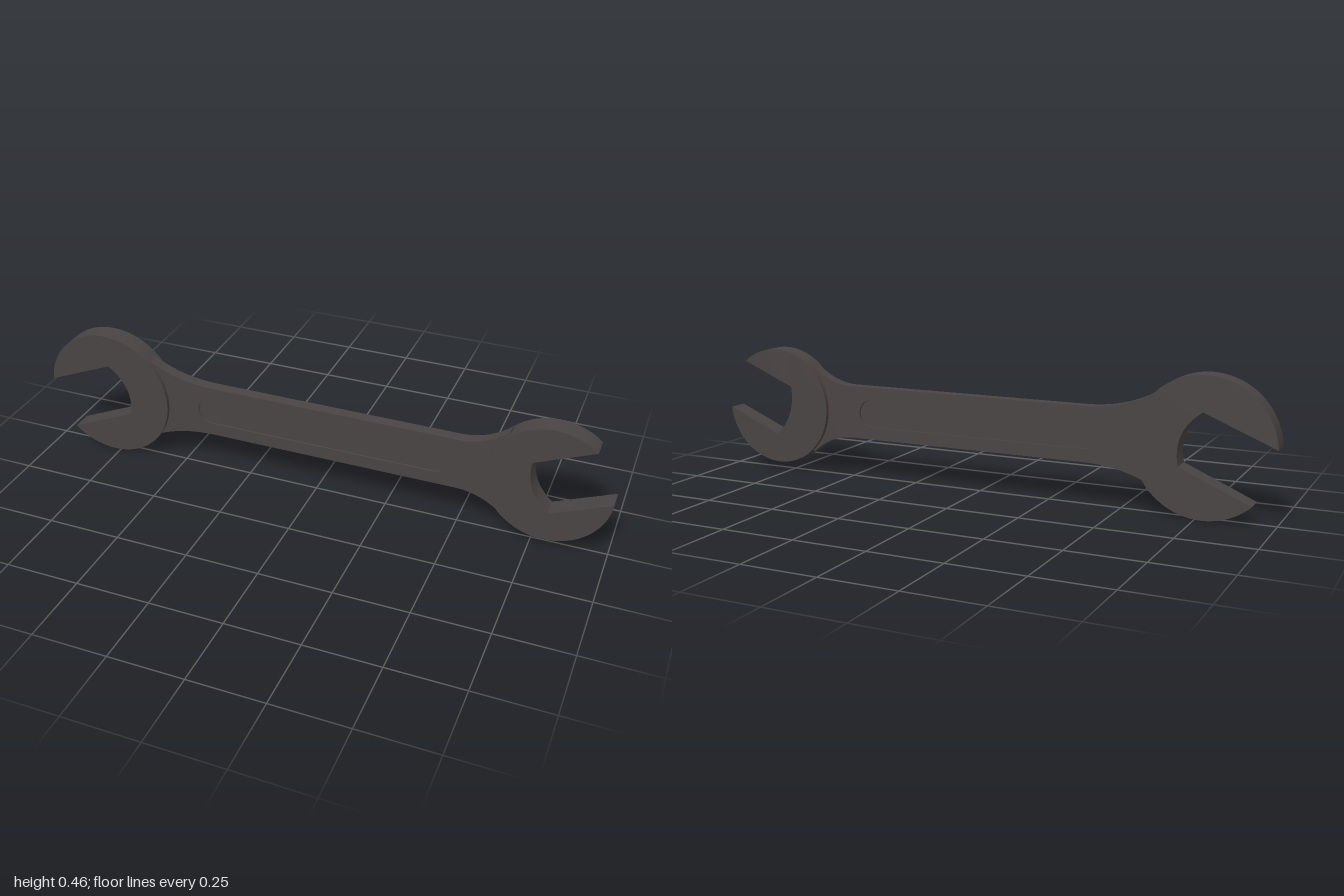
import * as THREE from 'three';
import { toCreasedNormals } from 'three/addons/utils/BufferGeometryUtils.js';

const steel = new THREE.MeshStandardMaterial({ color: 0x4a4444 });
const MID = 0.234; // height of the handle's centre line

// Extrudes an outline evenly to both sides of z = 0
function plate(name, shape, thickness) {
  const geometry = new THREE.ExtrudeGeometry(shape, { depth: thickness, bevelEnabled: false, curveSegments: 40 });
  geometry.translate(0, 0, -thickness / 2);
  const mesh = new THREE.Mesh(toCreasedNormals(geometry, 0.5), steel);
  mesh.name = name;
  return mesh;
}

// Round head with a slanted open jaw; a and b are the inner jaw corners
function head(name, x, y, r, startDeg, endDeg, a, control, b) {
  const shape = new THREE.Shape();
  shape.absarc(x, y, r, THREE.MathUtils.degToRad(startDeg), THREE.MathUtils.degToRad(endDeg), false);
  shape.lineTo(...a);
  shape.quadraticCurveTo(...control, ...b);
  shape.closePath();
  return plate(name, shape, 0.07);
}

// Rounded slot outline along the handle
function slot(PathType) {
  const path = new PathType();
  path.absarc(0.412, MID, 0.048, -Math.PI / 2, Math.PI / 2, false);
  path.absarc(-0.382, MID, 0.048, Math.PI / 2, Math.PI * 1.5, false);
  path.closePath();
  return path;
}

export function createModel() {
  const group = new THREE.Group();
  group.name = 'openEndWrench';

  // Heads
  group.add(head('largeHead', -0.772, 0.228, 0.228, 227, 536,
    [-0.767, 0.34], [-0.671, 0.276], [-0.693, 0.163]));
  group.add(head('smallHead', 0.794, 0.234, 0.206, 49, 354.5,
    [0.8, 0.131], [0.72, 0.199], [0.735, 0.308]));

  // Handle, flaring into both heads
  const half = 0.092;
  const outline = new THREE.Shape();
  outline.moveTo(-0.37, MID - half);
  outline.lineTo(0.49, MID - half);
  outline.quadraticCurveTo(0.58, MID - half, 0.655, MID - 0.16);
  outline.lineTo(0.655, MID + 0.16);
  outline.quadraticCurveTo(0.58, MID + half, 0.49, MID + half);
  outline.lineTo(-0.37, MID + half);
  outline.quadraticCurveTo(-0.51, MID + half, -0.615, MID + 0.157);
  outline.lineTo(-0.615, MID - 0.15);
  outline.quadraticCurveTo(-0.51, MID - half, -0.37, MID - half);
  outline.holes.push(slot(THREE.Path));
  group.add(plate('handle', outline, 0.04));

  // Thin web forming the floor of the groove on both faces
  group.add(plate('grooveFloor', slot(THREE.Shape), 0.026));
  return group;
}
